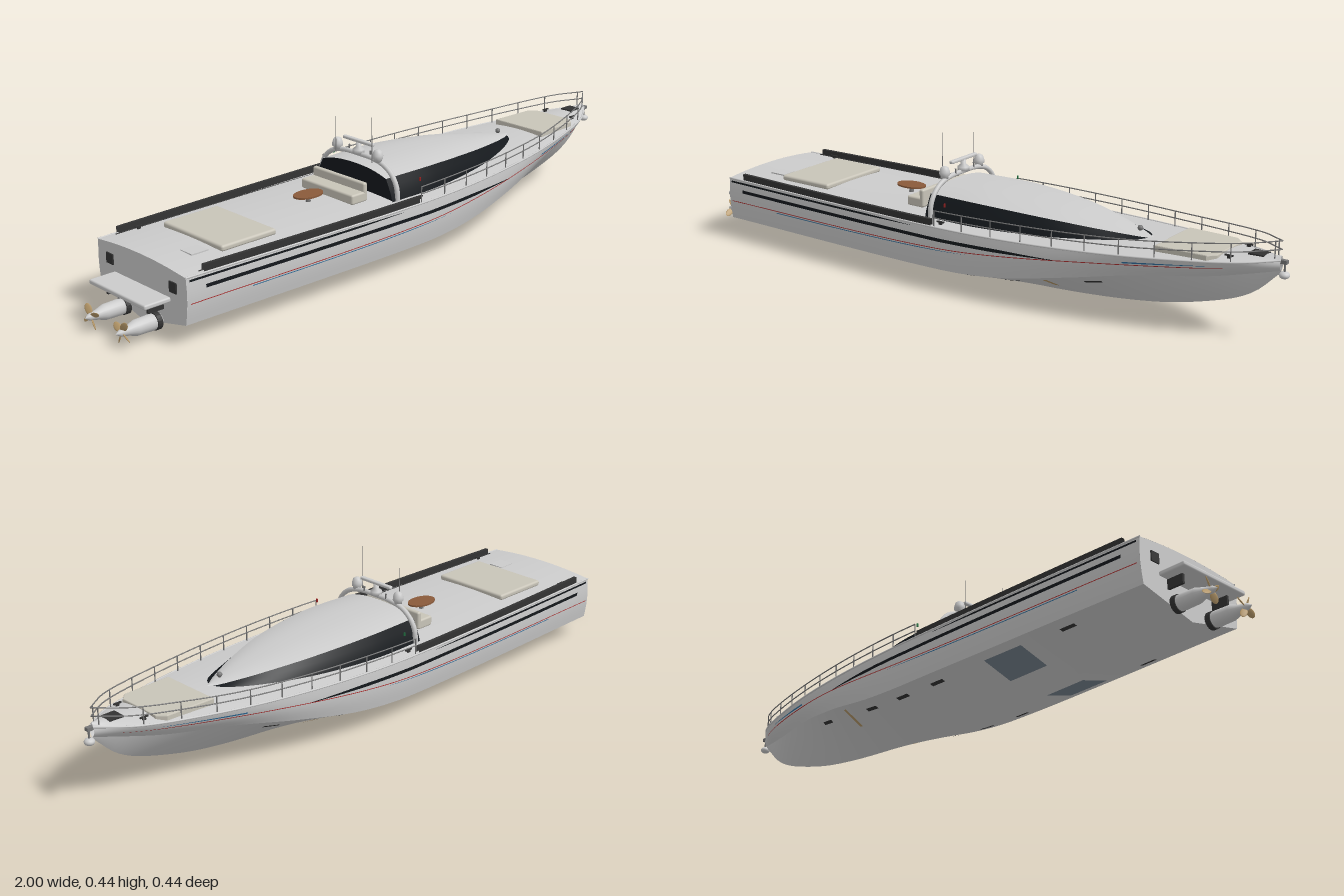
import * as THREE from 'three';
import { RoundedBoxGeometry } from 'three/addons/geometries/RoundedBoxGeometry.js';

const mat = (color = 0xcccccc, flatShading = false) =>
  new THREE.MeshStandardMaterial({ color, flatShading, side: THREE.DoubleSide });
const GREY = mat(), FLAT = mat(0xcccccc, true), BLACK = mat(0x14181c), DARK = mat(0x333333, true), RED = mat(0xb03030),
  BLUE = mat(0x2f6f9f), CREAM = mat(0xc8c4b8), WOOD = mat(0x8a5a3a), BRONZE = mat(0xb89a6a), STEEL = mat(0x777777);

// smooth interpolation through [x, value] pairs
function curve(p) {
  const slope = i => {
    const a = p[Math.max(i - 1, 0)], b = p[Math.min(i + 1, p.length - 1)];
    return (b[1] - a[1]) / (b[0] - a[0]);
  };
  return x => {
    let i = 0;
    while (i < p.length - 2 && x > p[i + 1][0]) i++;
    const h = p[i + 1][0] - p[i][0], t = THREE.MathUtils.clamp((x - p[i][0]) / h, 0, 1), u = 1 - t;
    return p[i][1] * (1 + 2 * t) * u * u + slope(i) * h * t * u * u
      + p[i + 1][1] * t * t * (3 - 2 * t) - slope(i + 1) * h * t * t * u;
  };
}

// surface lofted from f(x, v) => [y, z]
function loft(x0, x1, nx, nv, f) {
  const pos = [], idx = [];
  for (let i = 0; i <= nx; i++) for (let j = 0; j <= nv; j++) {
    const x = x0 + (x1 - x0) * i / nx;
    pos.push(x, ...f(x, j / nv));
    if (i < nx && j < nv) {
      const a = i * (nv + 1) + j, b = a + nv + 1;
      idx.push(a, a + 1, b, b, a + 1, b + 1);
    }
  }
  const g = new THREE.BufferGeometry();
  g.setAttribute('position', new THREE.Float32BufferAttribute(pos, 3));
  g.setIndex(idx);
  g.computeVertexNormals();
  return g;
}

// hull lines
const BOW = 0.975, STERN = -0.86;
const keelY = curve([[-0.86, 0.018], [-0.4, 0.004], [0, 0], [0.3, 0.006], [0.6, 0.036], [0.8, 0.085], [0.9, 0.13], [BOW, 0.2]]);
const chineY = curve([[-0.86, 0.062], [0, 0.066], [0.2, 0.08], [0.4, 0.115], [0.6, 0.15], [0.8, 0.172], [BOW, 0.205]]);
const chineZ = curve([[-0.86, 0.188], [-0.4, 0.202], [0, 0.21], [0.2, 0.2], [0.4, 0.174], [0.6, 0.125], [0.8, 0.065], [0.92, 0.022], [BOW, 0.002]]);
const sheerY = curve([[-0.86, 0.196], [0, 0.195], [0.4, 0.204], [0.8, 0.222], [BOW, 0.235]]);
const sheerZ = curve([[-0.86, 0.194], [-0.4, 0.21], [0, 0.217], [0.2, 0.21], [0.4, 0.19], [0.6, 0.155], [0.8, 0.1], [0.9, 0.06], [BOW, 0.006]]);
const deckY = (x, z) => sheerY(x) + 0.012 * (1 - (z / sheerZ(x)) ** 2);
const bottom = (x, v, s, o = 0) => [
  THREE.MathUtils.lerp(keelY(x), chineY(x), v) - o,
  s * (chineZ(x) * (v + 0.25 * v * (1 - v) * THREE.MathUtils.smoothstep(x, 0.3, 0.9)) + o)];
const side = (x, v, s, o = 0) => [
  THREE.MathUtils.lerp(chineY(x), sheerY(x), v),
  s * (THREE.MathUtils.lerp(chineZ(x), sheerZ(x), v) + 0.006 * Math.sin(Math.PI * v) + o)];

// canopy lines
const roofZ = curve([[-0.09, 0.135], [0.1, 0.138], [0.3, 0.112], [0.45, 0.068], [0.55, 0.026], [0.59, 0.002]]);
const glassZ = curve([[-0.09, 0.163], [0.1, 0.163], [0.3, 0.137], [0.45, 0.094], [0.55, 0.048], [0.605, 0.004]]);
const crownY = curve([[-0.09, 0.283], [0.1, 0.282], [0.3, 0.27], [0.45, 0.25], [0.605, 0.222]]);
const eaveY = curve([[-0.09, 0.264], [0.1, 0.264], [0.3, 0.254], [0.45, 0.239], [0.605, 0.219]]);
const roofAt = (x, v) => {
  const c = 2 * v - 1;
  return [eaveY(x) + (crownY(x) - eaveY(x)) * (1 - Math.abs(c) ** 2.4), roofZ(x) * c];
};

export function createModel() {
  const root = new THREE.Group();
  const add = (name, geo, m = GREY, x = 0, y = 0, z = 0, parent = root) => {
    const o = new THREE.Mesh(geo, m);
    o.name = name;
    o.position.set(x, y, z);
    parent.add(o);
    return o;
  };
  const box = (name, x, y, z, w, h, d, m = FLAT) => add(name, new THREE.BoxGeometry(w, h, d), m, x, y, z);
  const tube = (name, pts, r, m = STEEL, n = 40) => add(name, new THREE.TubeGeometry(
    new THREE.CatmullRomCurve3(pts.map(p => new THREE.Vector3(...p))), n, r, 8), m);
  const wall = (name, pts, x, m) => add(name, new THREE.ShapeGeometry(
    new THREE.Shape(pts.map(([y, z]) => new THREE.Vector2(z, y)))).rotateY(Math.PI / 2), m, x);

  // hull, deck and transom
  for (const s of [1, -1]) {
    add('hullBottom', loft(STERN, BOW, 90, 8, (x, v) => bottom(x, v, s)));
    add('hullSide', loft(STERN, BOW, 90, 8, (x, v) => side(x, v, s)));
  }
  add('deck', loft(STERN, BOW, 90, 12, (x, v) => {
    const z = sheerZ(x) * (2 * v - 1);
    return [deckY(x, z), z];
  }));
  const half = s => [0, 0.25, 0.5, 0.75, 1].map(v => side(STERN, v, s));
  const top = [-0.6, -0.3, 0, 0.3, 0.6].map(k => [deckY(STERN, k * sheerZ(STERN)), k * sheerZ(STERN)]);
  wall('transom', [[keelY(STERN), 0], ...half(-1), ...top, ...half(1).reverse()], STERN, GREY);

  // stripes, side boards and strakes
  const redY = curve([[-0.85, 0.122], [0, 0.134], [0.5, 0.178], [0.93, 0.212]]);
  const stripes = [
    ['upperStripe', -0.85, -0.1, () => 0.186, 0.003, BLACK],
    ['broadStripe', -0.8, 0.38, x => 0.16 + 0.02 * Math.max(x, 0), 0.005, BLACK],
    ['redStripe', -0.85, 0.92, redY, 0.0012, RED],
    ['blueStripe', -0.65, 0.1, x => redY(x) - 0.006, 0.0012, BLUE],
    ['bowStripe', 0.58, 0.82, x => redY(x) + 0.007, 0.002, BLUE],
  ];
  for (const s of [1, -1]) {
    for (const [name, a, b, yc, h, m] of stripes) {
      add(name, loft(a, b, 50, 1, (x, v) => {
        const taper = Math.min(1, (b - x) / 0.2 + 0.1);
        const y = yc(x) + (2 * v - 1) * h * taper;
        return side(x, (y - chineY(x)) / (sheerY(x) - chineY(x)), s, 0.0015);
      }), m);
    }
    add('sideBoard', loft(-0.8, -0.03, 30, 4, (x, v) => {
      const k = Math.round(v * 4) % 4, z = sheerZ(x) - (k === 1 || k === 2 ? 0.013 : 0.002);
      return [sheerY(x) + (k > 1 ? 0.021 : -0.003), s * z];
    }), DARK);
    add('bottomStrip', loft(0.335, 0.347, 1, 6, (x, v) => bottom(x, 0.56 + 0.37 * v, s, 0.002)), BRONZE);
    add('bottomPanel', loft(-0.41, -0.27, 6, 4, (x, v) => bottom(x, 0.35 + 0.5 * v, s, 0.001)), mat(0x77838f));
    for (const x0 of [-0.6, -0.1, 0.05, 0.2, 0.45])
      add('chineSlot', loft(x0, x0 + 0.05, 2, 1, (x, v) => bottom(x, 0.78 + 0.06 * v, s, 0.0015)), DARK);
    tube('rubRail', Array.from({ length: 24 }, (_, i) => {
      const x = STERN + (BOW - STERN) * i / 23;
      return [x, sheerY(x), s * sheerZ(x)];
    }), 0.003, GREY, 80);
  }

  // canopy: glass band, roof and aft screen
  add('canopyRoof', loft(-0.09, 0.59, 50, 20, roofAt));
  for (const s of [1, -1]) add('canopyGlass', loft(-0.09, 0.603, 50, 3, (x, v) => [
    THREE.MathUtils.lerp(deckY(x, glassZ(x)) - 0.002, eaveY(x), v),
    s * THREE.MathUtils.lerp(glassZ(x), roofZ(x), v ** 1.3)]), BLACK);
  const rim = Array.from({ length: 21 }, (_, i) => roofAt(-0.085, i / 20));
  wall('aftScreen', [[0.198, -0.162], ...rim, [0.198, 0.162]], -0.085, BLACK);

  // radar arch with domes, scanner and aerials
  const arch = [[0.2, 0.163], [0.235, 0.16], [0.265, 0.145], [0.29, 0.115], [0.303, 0.07], [0.306, 0]];
  tube('radarArch', [...arch.map(([y, z]) => [-0.07, y, z]),
    ...arch.slice(0, -1).reverse().map(([y, z]) => [-0.07, y, -z])], 0.0075, GREY, 60);
  const lathe = p => new THREE.LatheGeometry(p.map(q => new THREE.Vector2(...q)), 20);
  for (const s of [1, -1]) {
    add('satelliteDome', lathe([[0, 0], [0.012, 0], [0.012, 0.008], [0.016, 0.01], [0.016, 0.02], [0.012, 0.032], [0.006, 0.036], [0, 0.037]]),
      GREY, -0.075, 0.302, s * 0.086);
    const tip = s > 0 ? 0.437 : 0.407;
    add('aerial', new THREE.CylinderGeometry(0.0007, 0.0016, tip - 0.3, 8), STEEL, -0.09, (tip + 0.3) / 2, s * 0.077);
    add('hornLight', new THREE.CylinderGeometry(0.003, 0.002, 0.016, 10), STEEL, -0.065, 0.315, s * 0.045);
  }
  add('scannerBase', lathe([[0, 0], [0.018, 0], [0.018, 0.012], [0.008, 0.02], [0.008, 0.034], [0, 0.034]]), GREY, -0.07, 0.308);
  add('scannerBar', new RoundedBoxGeometry(0.014, 0.01, 0.126, 3, 0.004), GREY, -0.07, 0.345);

  // bow railing
  const railY = curve([[-0.03, 0.242], [0.55, 0.256], [0.8, 0.273], [0.98, 0.289]]);
  const railAt = (x, s, k) => [x, THREE.MathUtils.lerp(sheerY(x), railY(x), k), s * Math.max(sheerZ(x) - 0.006, 0.006)];
  for (const k of [0.55, 1]) {
    const run = s => Array.from({ length: 18 }, (_, i) => railAt(-0.02 + 0.98 * i / 17, s, k));
    tube('bowRail', [...run(1), [0.975, THREE.MathUtils.lerp(0.235, 0.289, k), 0], ...run(-1).reverse()], 0.0018, STEEL, 120);
  }
  for (const s of [1, -1]) for (let i = 0; i <= 10; i++) {
    const x = -0.02 + 0.098 * i;
    tube('railPost', [railAt(x, s, 0), railAt(x, s, 1)], 0.0018, STEEL, 1);
  }

  // deck furniture
  add('aftSunpad', new RoundedBoxGeometry(0.19, 0.018, 0.26, 3, 0.007), CREAM, -0.595, 0.21);
  const pad = new THREE.Shape([[0.65, -0.095], [0.8, -0.09], [0.82, -0.07], [0.82, 0.07], [0.8, 0.09], [0.65, 0.095]]
    .map(p => new THREE.Vector2(...p)));
  add('bowSunpad', new THREE.ExtrudeGeometry(pad, { depth: 0.018, bevelSize: 0.003, bevelThickness: 0.003, bevelSegments: 2 })
    .rotateX(-Math.PI / 2), CREAM, 0, 0.218);
  add('benchSeat', new RoundedBoxGeometry(0.06, 0.03, 0.22, 3, 0.006), CREAM, -0.17, 0.218);
  add('benchBack', new RoundedBoxGeometry(0.016, 0.055, 0.22, 3, 0.006), CREAM, -0.146, 0.232);
  add('tableTop', new THREE.CylinderGeometry(0.05, 0.05, 0.005, 32), WOOD, -0.27, 0.228).scale.z = 0.66;
  add('tableLeg', new THREE.CylinderGeometry(0.006, 0.008, 0.025, 12), STEEL, -0.27, 0.214);
  box('aftHatch', -0.74, 0.206, 0.075, 0.055, 0.005, 0.05);
  box('foreHatch', 0.91, 0.238, 0, 0.045, 0.012, 0.042, DARK);
  add('spotlight', new THREE.SphereGeometry(0.008, 12, 8), STEEL, 0.545, 0.243);
  for (const s of [1, -1]) {
    for (const x of [-0.74, -0.01, 0.85]) {
      const z = s * (sheerZ(x) - 0.025);
      box('cleat', x, deckY(x, z) + 0.008, z, 0.025, 0.004, 0.005, DARK);
      box('cleatFoot', x, deckY(x, z) + 0.003, z, 0.01, 0.008, 0.005, DARK);
    }
    add('navigationLight', new THREE.CylinderGeometry(0.003, 0.003, 0.01, 8), mat(s > 0 ? 0x9a2222 : 0x227744), 0.0, 0.255, s * 0.185);
  }
  // deck seam lines
  for (const s of [1, -1]) tube('deckSeam', [[-0.81, 0.199, s * 0.183], [-0.4, 0.197, s * 0.192], [-0.06, 0.196, s * 0.194]], 0.0015, DARK);

  // anchor and bow roller
  box('bowRoller', 0.975, 0.232, 0, 0.035, 0.01, 0.014, STEEL);
  add('anchor', new THREE.SphereGeometry(0.015, 16, 10), GREY, 0.985, 0.195).scale.set(1, 0.7, 1);
  tube('anchorShank', [[0.985, 0.195, 0], [0.985, 0.232, 0]], 0.003, STEEL, 2);

  // swim platform and stern drives
  add('swimPlatform', new RoundedBoxGeometry(0.085, 0.014, 0.25, 3, 0.005), GREY, -0.9, 0.115);
  for (const s of [1, -1]) {
    box('platformBracket', -0.885, 0.095, s * 0.09, 0.05, 0.03, 0.008, DARK);
    box('sternVent', -0.862, 0.155, s * 0.14, 0.004, 0.03, 0.03, DARK);
    const drive = new THREE.Group();
    drive.name = 'sternDrive';
    drive.position.set(-0.86, 0.042, s * 0.07);
    root.add(drive);
    add('driveBody', lathe([[0, 0], [0.02, 0], [0.023, 0.03], [0.022, 0.075], [0.014, 0.1], [0.009, 0.125], [0, 0.138]])
      .rotateZ(Math.PI / 2), GREY, 0, 0, 0, drive);
    add('driveCollar', new THREE.CylinderGeometry(0.025, 0.025, 0.015, 20).rotateZ(Math.PI / 2), DARK, -0.012, 0, 0, drive);
    for (let i = 0; i < 4; i++) {
      const blade = add('propellerBlade', new THREE.SphereGeometry(1, 12, 8).scale(0.002, 0.017, 0.01)
        .rotateY(0.7).translate(0, 0.021, 0), BRONZE, -0.118, 0, 0, drive);
      blade.rotation.x = s * (0.5 + i * Math.PI / 2);
    }
  }
  return root;
}
